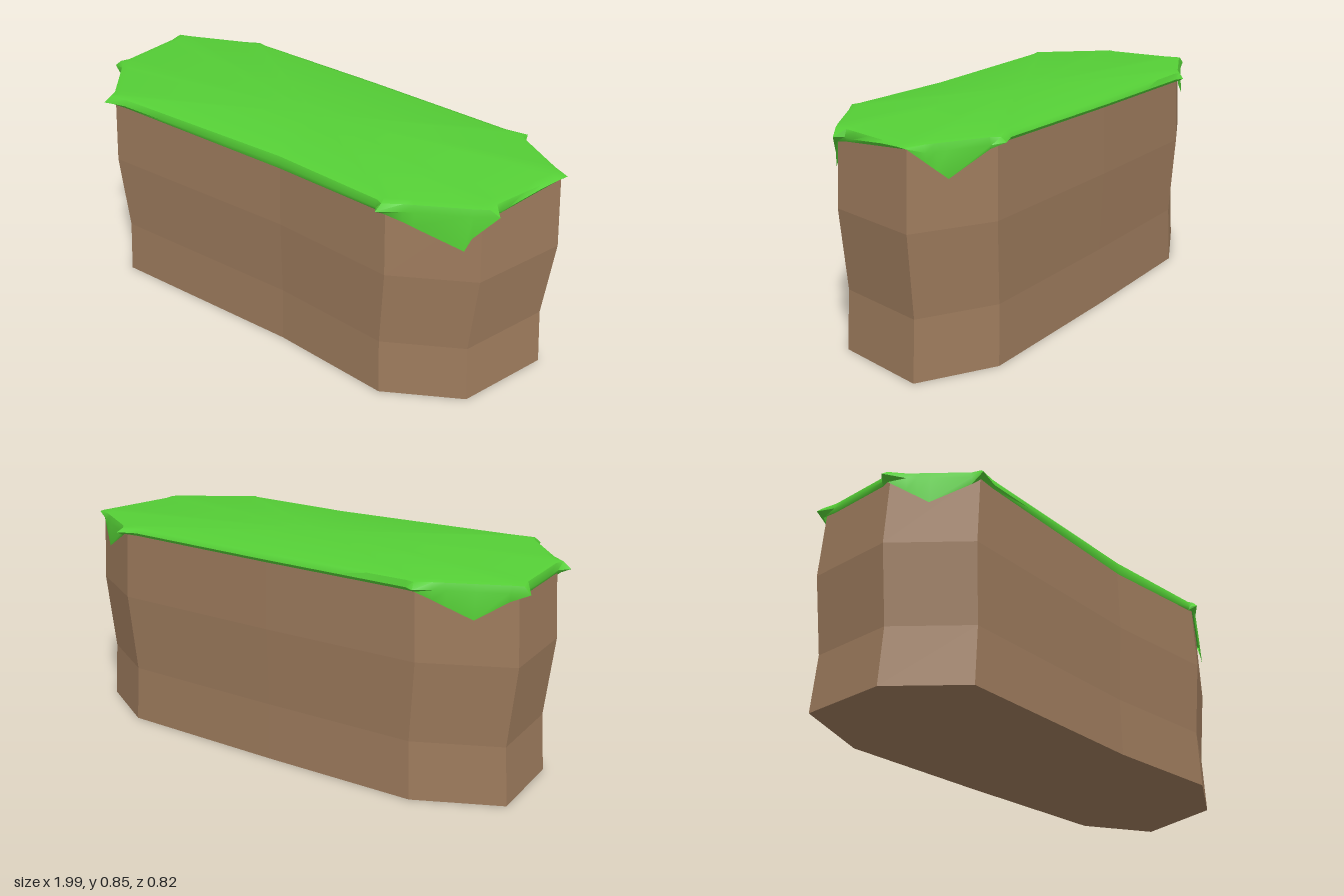
import * as THREE from 'three';
import { toCreasedNormals } from 'three/addons/utils/BufferGeometryUtils.js';

// Block outline, anticlockwise from above:
// x, z, grass hem height, grass corner tip x, z (the two without tips are mid-side points)
const OUTLINE = [
  [-0.74, 0.37, 0.805, -0.765, 0.41],
  [0.1, 0.335, 0.79],
  [0.595, 0.36, 0.8, 0.58, 0.4],
  [0.88, 0.19, 0.79, 0.935, 0.165],
  [0.975, -0.185, 0.832, 0.993, -0.195],
  [0.7, -0.355, 0.815, 0.715, -0.4],
  [0, -0.375, 0.81],
  [-0.63, -0.38, 0.805, -0.635, -0.412],
  [-0.955, -0.235, 0.8, -1, -0.24],
  [-0.95, 0.12, 0.8, -1, 0.13],
];

// Hanging flaps on the four cut corners: start index -> [position along side, tip height]
const FLAPS = { 2: [0.84, 0.678], 4: [0.42, 0.72], 7: [0.58, 0.715], 9: [0.45, 0.705] };

const lerp = THREE.MathUtils.lerp;

// Skin a stack of equal-length rings; optionally close the ends with fans
function loft(rings, capFirst, capLast) {
  const n = rings[0].length;
  const pos = rings.flat(2);
  const index = [];
  for (let r = 0; r < rings.length - 1; r++) {
    for (let i = 0; i < n; i++) {
      const a = r * n + i, b = r * n + (i + 1) % n;
      index.push(a, b, b + n, a, b + n, a + n);
    }
  }
  const cap = (r, flip) => {
    const centre = pos.length / 3;
    pos.push(0, rings[r][0][1], 0);
    for (let i = 0; i < n; i++) {
      const a = r * n + i, b = r * n + (i + 1) % n;
      index.push(centre, flip ? b : a, flip ? a : b);
    }
  };
  if (capFirst) cap(0, true);
  if (capLast) cap(rings.length - 1, false);
  const geo = new THREE.BufferGeometry();
  geo.setAttribute('position', new THREE.Float32BufferAttribute(pos, 3));
  geo.setIndex(index);
  geo.computeVertexNormals();
  return geo;
}

// Earth block: the outline pinched and bulged through four levels
function createBlock() {
  const levels = [[0, 1], [0.23, 0.982], [0.545, 1.018], [0.838, 0.998]];
  const rings = levels.map(([y, s]) => OUTLINE.map(([x, z]) => [x * s, y, z * s]));
  const mesh = new THREE.Mesh(
    loft(rings, true, true),
    new THREE.MeshStandardMaterial({ color: 0x9c7a5c, flatShading: true })
  );
  mesh.name = 'earthBlock';
  return mesh;
}

// Grass cover: flat top, rounded rim with pulled-out corners, and a draped hem
function createGrass() {
  const hem = [], rim = [], shoulder = [], top = [];
  OUTLINE.forEach((p, i) => {
    const q = OUTLINE[(i + 1) % OUTLINE.length];
    const len = Math.hypot(q[0] - p[0], q[1] - p[1]);
    const nx = -(q[1] - p[1]) / len, nz = (q[0] - p[0]) / len;
    const flap = FLAPS[i];
    const near = Math.min(0.2, 0.06 / len);
    const steps = [0, near, 0.3, flap ? flap[0] : 0.5, flap ? 0.9 : 0.7, 1 - near / 2];
    steps.sort((a, b) => a - b);
    for (const t of steps) {
      const x = lerp(p[0], q[0], t), z = lerp(p[1], q[1], t);
      let y = lerp(p[2], q[2], t), out = 0.006;
      if (flap) {
        const k = t < flap[0] ? t / flap[0] : (1 - t) / (1 - flap[0]);
        y = lerp(y, flap[1], k);
        out += 0.016 * k;
      }
      const tip = t === 0 && p.length > 3;
      const rx = tip ? p[3] : x + nx * 0.014;
      const rz = tip ? p[4] : z + nz * 0.014;
      const hx = tip ? lerp(x, rx, 0.3) : x + nx * out;
      const hz = tip ? lerp(z, rz, 0.3) : z + nz * out;
      hem.push([hx, y, hz]);
      rim.push([rx, Math.max(0.815, Math.min(y + 0.012, 0.836)), rz]);
      shoulder.push([lerp(x, rx, 0.4), 0.841, lerp(z, rz, 0.4)]);
      top.push([x * 0.975, 0.847, z * 0.965]);
    }
  });
  const mesh = new THREE.Mesh(
    toCreasedNormals(loft([hem, rim, shoulder, top], false, true), 0.9),
    new THREE.MeshStandardMaterial({ color: 0x55cf36, side: THREE.DoubleSide })
  );
  mesh.name = 'grassCover';
  return mesh;
}

export function createModel() {
  const group = new THREE.Group();
  group.name = 'grassyBlock';
  group.add(createBlock(), createGrass());
  return group;
}
